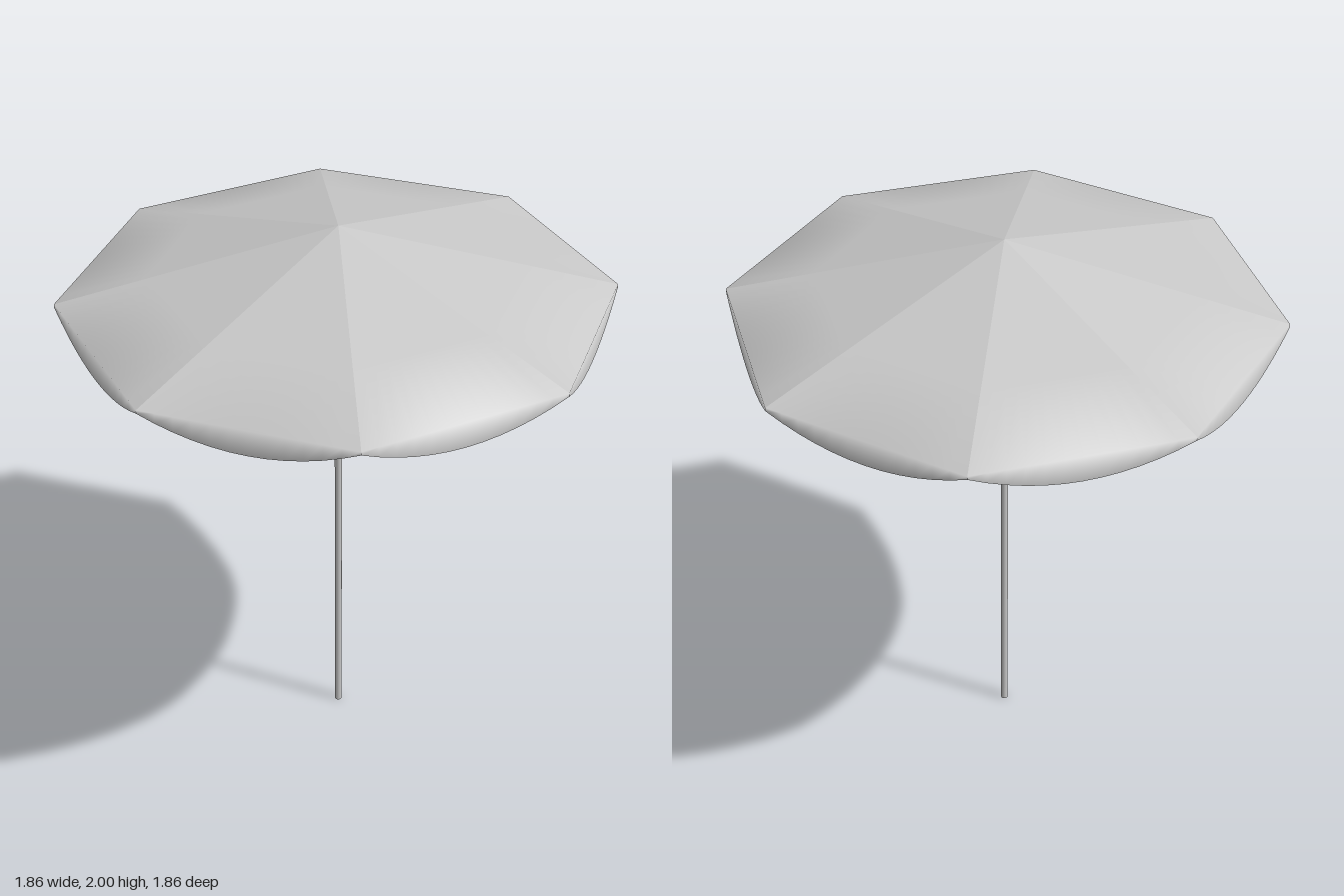
import * as THREE from 'three';
import { mergeVertices } from 'three/addons/utils/BufferGeometryUtils.js';

const SIDES = 8, RADIUS = 0.932, APEX_Y = 2, RIM_Y = 1.747, HEM_Y = 1.735, SCALLOP = 0.079;
const COLUMNS = 12, SLOPE_ROWS = 3;

// Weld shared corners so the shading runs smoothly over the whole piece
function smooth(geometry) {
  geometry.deleteAttribute('normal');
  geometry.deleteAttribute('uv');
  const welded = mergeVertices(geometry, 1e-5);
  welded.computeVertexNormals();
  return welded;
}

// One flat canopy wedge, ending in a hanging scalloped flap; it faces +z
function panelGeometry() {
  const geometry = new THREE.PlaneGeometry(1, 1, COLUMNS, SLOPE_ROWS + 1);
  const pos = geometry.attributes.position;
  const halfWidth = RADIUS * Math.sin(Math.PI / SIDES);
  const depth = RADIUS * Math.cos(Math.PI / SIDES);
  for (let i = 0; i < pos.count; i++) {
    const column = i % (COLUMNS + 1);
    const row = Math.floor(i / (COLUMNS + 1));
    const t = column / COLUMNS;
    const out = Math.min(row / SLOPE_ROWS, 1);
    const y = row > SLOPE_ROWS
      ? HEM_Y - SCALLOP * 4 * t * (1 - t)
      : APEX_Y + (RIM_Y - APEX_Y) * out;
    pos.setXYZ(i, (2 * t - 1) * halfWidth * out, y, depth * out);
  }
  return smooth(geometry);
}

export function createModel() {
  const model = new THREE.Group();
  model.name = 'parasol';
  const grey = new THREE.MeshStandardMaterial({ color: 0xc8c8c8, side: THREE.DoubleSide });
  grey.name = 'light grey';

  // Canopy: eight equal panels with ribs on the axes and diagonals
  const canopy = new THREE.Group();
  canopy.name = 'canopy';
  const panel = panelGeometry();
  for (let i = 0; i < SIDES; i++) {
    const mesh = new THREE.Mesh(panel, grey);
    mesh.name = 'canopyPanel';
    mesh.rotation.y = ((i + 0.5) / SIDES) * Math.PI * 2;
    canopy.add(mesh);
  }
  model.add(canopy);

  // Pole, stopping short of the canopy
  const poleHeight = 1.535;
  const pole = new THREE.Mesh(smooth(new THREE.CylinderGeometry(0.0125, 0.0125, poleHeight, 16)), grey);
  pole.name = 'pole';
  pole.position.y = poleHeight / 2;
  model.add(pole);

  return model;
}
